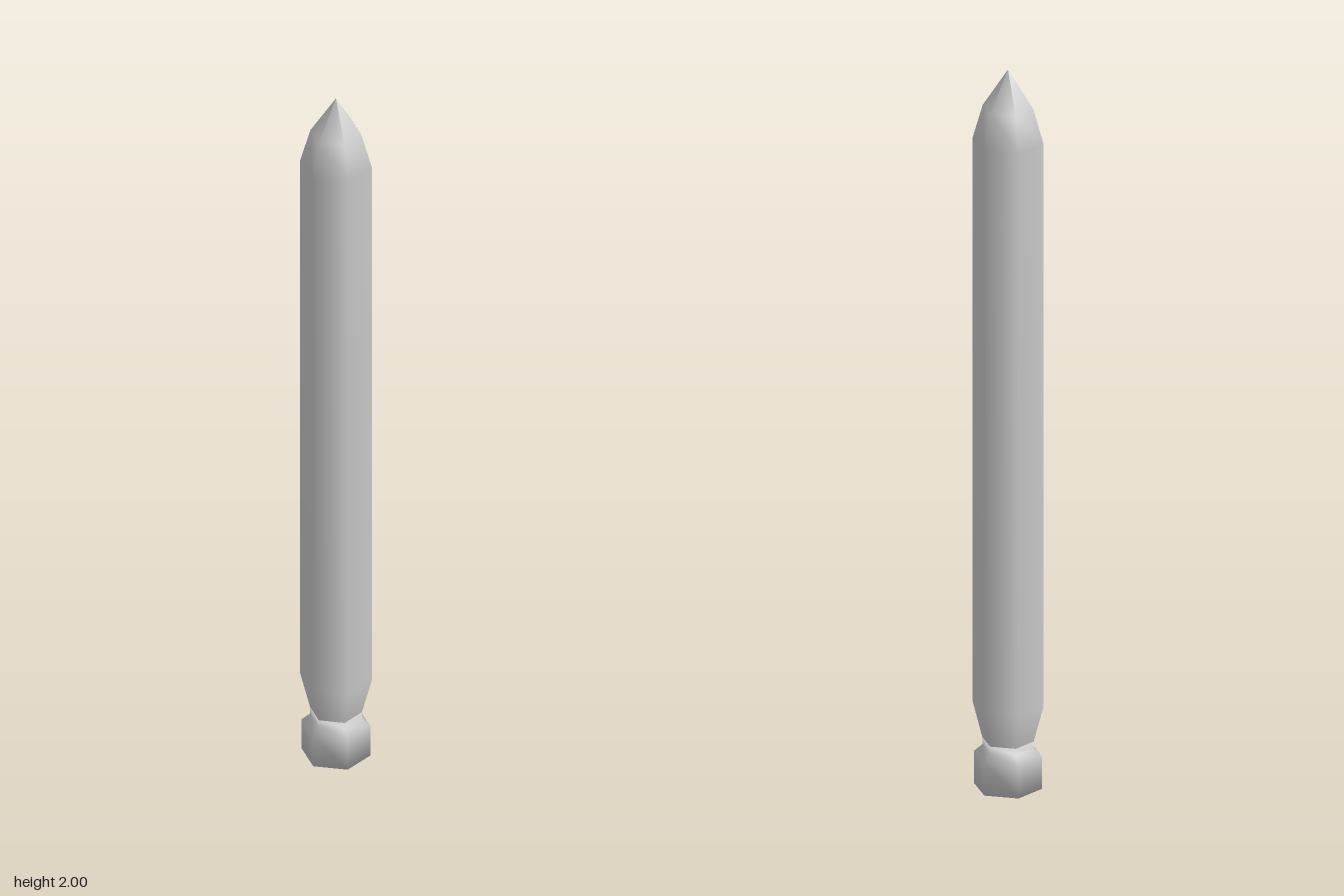
import * as THREE from 'three';

const material = new THREE.MeshStandardMaterial({ color: 0xcccccc });

// Six-sided turned part with corners on the x axis; profile is [radius, y] from bottom to top
function hexLathe(name, profile) {
  const points = profile.map(([r, y]) => new THREE.Vector2(r, y));
  const mesh = new THREE.Mesh(new THREE.LatheGeometry(points, 6, Math.PI / 2), material);
  mesh.name = name;
  return mesh;
}

export function createModel() {
  const group = new THREE.Group();
  group.name = 'missile';

  // Long tube with tapered tail and two-step pointed nose
  group.add(hexLathe('body', [
    [0.068, 0.13], [0.094, 0.23], [0.094, 1.8], [0.067, 1.895], [0, 2],
  ]));

  // Flat-bottomed nozzle, closed at both ends
  group.add(hexLathe('nozzle', [
    [0, 0], [0.09, 0], [0.09, 0.09], [0.068, 0.11], [0.068, 0.13], [0, 0.13],
  ]));

  return group;
}
